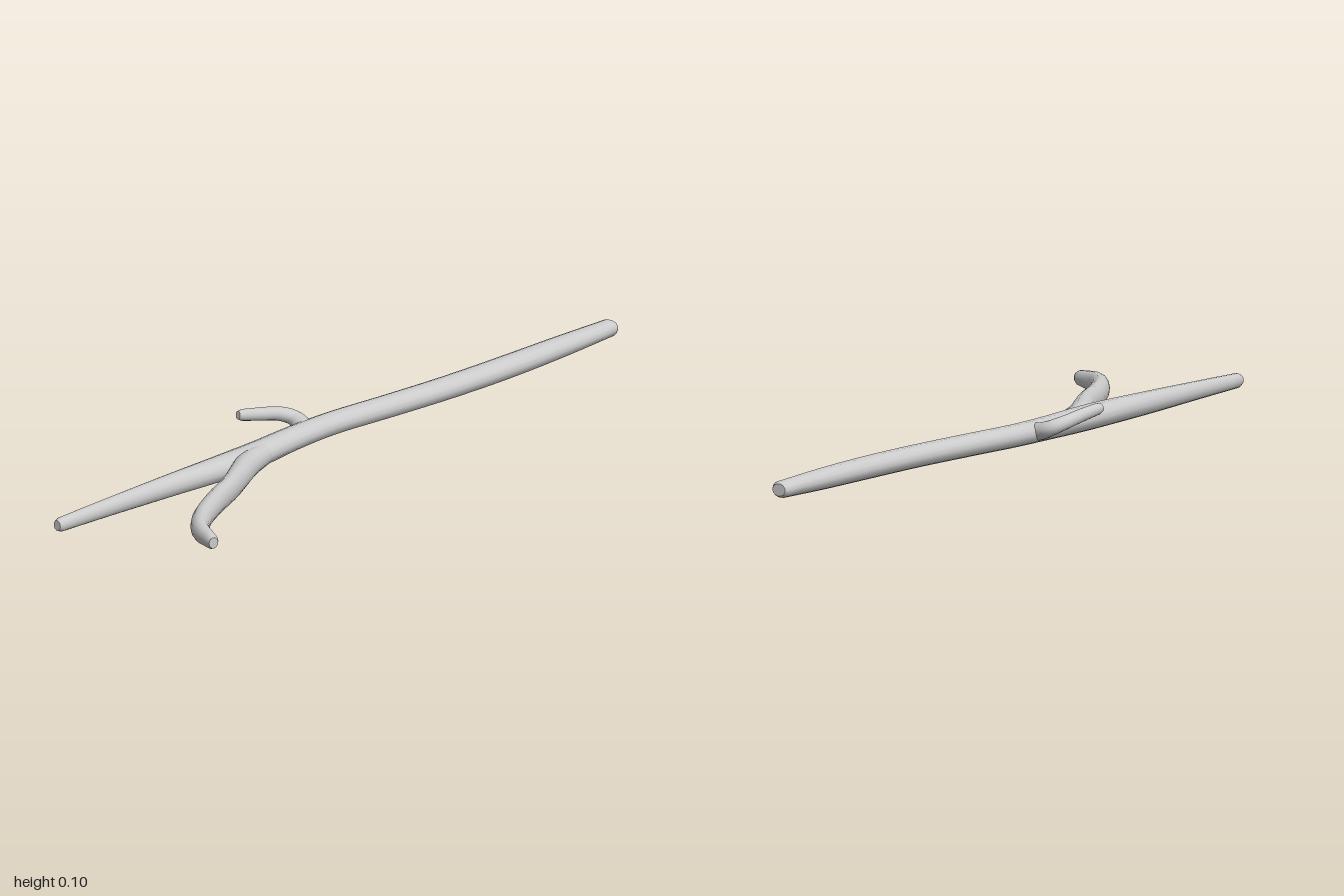
import * as THREE from 'three';

const SIDES = 14;

// Lofts an elliptical limb through stations [x, y, z, halfWidth, halfHeight], with bevelled ends.
function limb(name, stations, steps, material) {
  const path = new THREE.CatmullRomCurve3(stations.map(s => new THREE.Vector3(s[0], s[1], s[2])));
  const sizes = new THREE.CatmullRomCurve3(
    stations.map(s => new THREE.Vector3(s[3], s[4], 0)), false, 'catmullrom', 0.5);
  const up = new THREE.Vector3(0, 1, 0);
  const positions = [], index = [];

  const ring = (t, push, scale) => {
    const dir = path.getTangent(t);
    const center = path.getPoint(t).addScaledVector(dir, push);
    const size = sizes.getPoint(t);
    const side = up.clone().cross(dir).normalize();
    const rise = dir.clone().cross(side);
    for (let i = 0; i < SIDES; i++) {
      const a = (i / SIDES) * Math.PI * 2;
      const p = center.clone()
        .addScaledVector(side, Math.cos(a) * size.x * scale)
        .addScaledVector(rise, Math.sin(a) * size.y * scale);
      positions.push(p.x, p.y, p.z);
    }
  };

  // Flat start cap, bevel, body, bevel, flat end cap
  const bevel = 0.012;
  ring(0, -bevel, 0);
  ring(0, -bevel, 0.72);
  ring(0, -bevel, 0.72);
  for (let i = 0; i <= steps; i++) ring(i / steps, 0, 1);
  ring(1, bevel, 0.72);
  ring(1, bevel, 0.72);
  ring(1, bevel, 0);

  const rows = positions.length / 3 / SIDES;
  for (let r = 0; r < rows - 1; r++) {
    if (r === 1 || r === rows - 3) continue; // doubled rings keep the cap edge crisp
    for (let i = 0; i < SIDES; i++) {
      const j = (i + 1) % SIDES;
      const a = r * SIDES + i, b = r * SIDES + j;
      const c = a + SIDES, d = b + SIDES;
      if (r > 0) index.push(a, b, c);
      if (r < rows - 2) index.push(b, d, c);
      if (r === rows - 2) index.push(a, b, c);
    }
  }
  const geometry = new THREE.BufferGeometry();
  geometry.setAttribute('position', new THREE.Float32BufferAttribute(positions, 3));
  geometry.setIndex([...new Set(index.length ? [0] : [])].length ? index : []);
  geometry.computeVertexNormals();
  const mesh = new THREE.Mesh(geometry, material);
  mesh.name = name;
  return mesh;
}

export function createModel() {
  const group = new THREE.Group();
  group.name = 'branchedStick';
  const wood = new THREE.MeshStandardMaterial({ color: 0xcccccc });

  // Long, gently bent stem tapering toward the front
  group.add(limb('mainStem', [
    [-0.114, 0.041, -0.988, 0.027, 0.022],
    [-0.107, 0.041, -0.8, 0.032, 0.027],
    [-0.102, 0.041, -0.6, 0.035, 0.029],
    [-0.105, 0.041, -0.4, 0.035, 0.029],
    [-0.118, 0.041, -0.2, 0.034, 0.029],
    [-0.134, 0.041, 0, 0.034, 0.029],
    [-0.13, 0.040, 0.14, 0.036, 0.030],
    [-0.118, 0.038, 0.28, 0.039, 0.032],
    [-0.114, 0.038, 0.4, 0.038, 0.032],
    [-0.116, 0.039, 0.6, 0.028, 0.029],
    [-0.116, 0.040, 0.8, 0.021, 0.024],
    [-0.115, 0.040, 0.988, 0.016, 0.019],
  ], 48, wood));

  // Side branch sweeping out to the left
  group.add(limb('sideBranch', [
    [-0.115, 0.038, 0.24, 0.026, 0.028],
    [-0.086, 0.037, 0.34, 0.032, 0.033],
    [-0.042, 0.037, 0.42, 0.029, 0.035],
    [0.0, 0.037, 0.495, 0.025, 0.035],
    [0.053, 0.037, 0.61, 0.025, 0.033],
    [0.11, 0.037, 0.71, 0.025, 0.031],
    [0.165, 0.037, 0.77, 0.023, 0.028],
    [0.238, 0.037, 0.805, 0.017, 0.020],
  ], 32, wood));

  // Short hooked twig rising on the right
  group.add(limb('hookedTwig', [
    [-0.125, 0.040, 0.085, 0.028, 0.024],
    [-0.165, 0.046, 0.065, 0.025, 0.023],
    [-0.2, 0.058, 0.062, 0.021, 0.020],
    [-0.222, 0.070, 0.09, 0.018, 0.018],
    [-0.232, 0.081, 0.145, 0.016, 0.017],
    [-0.243, 0.091, 0.203, 0.013, 0.015],
  ], 20, wood));

  return group;
}
